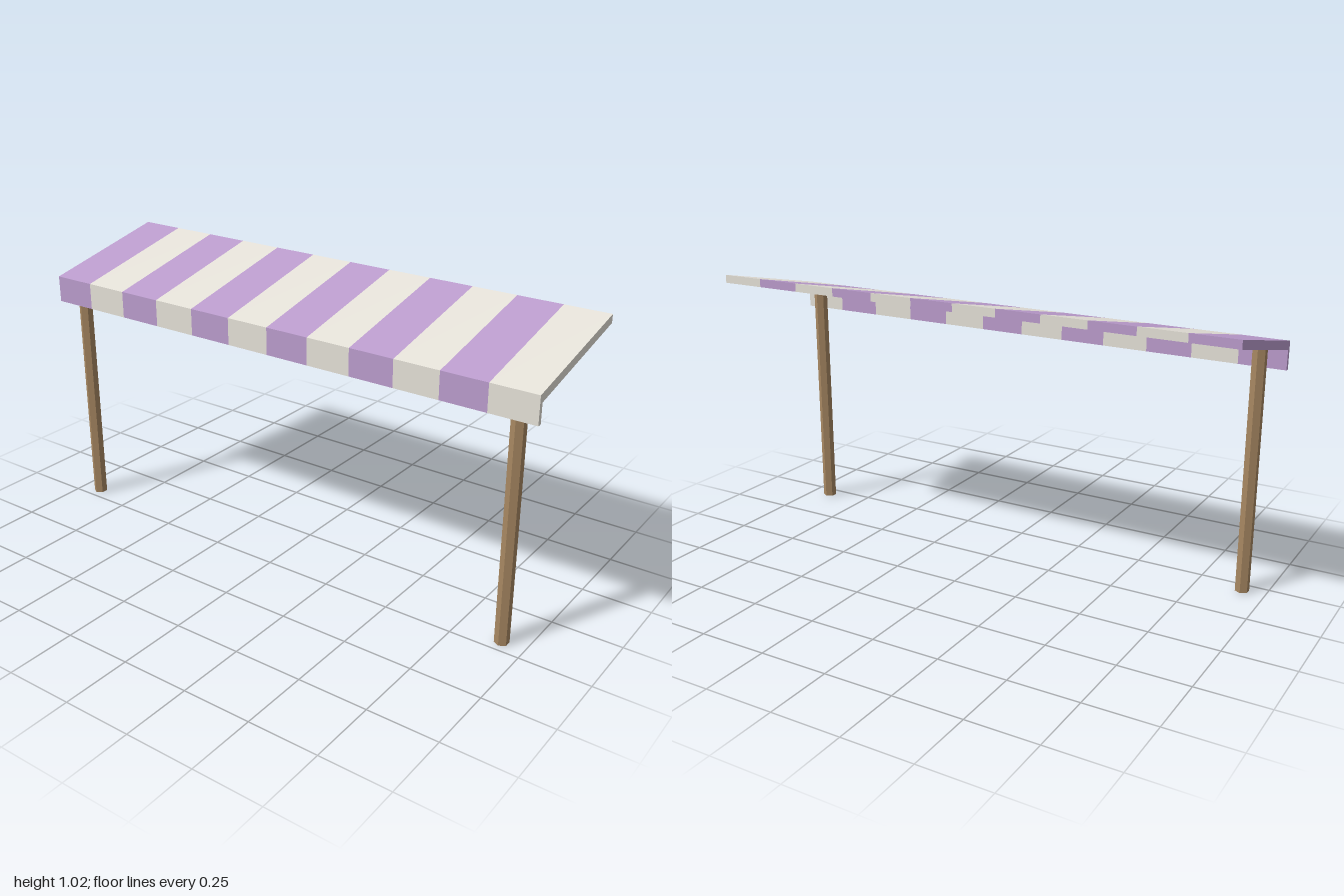
import * as THREE from 'three';

const STRIPES = 12;
const WIDTH = 2 / STRIPES;

export function createModel() {
  const model = new THREE.Group();
  model.name = 'stripedAwning';

  const material = (color) => new THREE.MeshStandardMaterial({ color, flatShading: true });
  const purple = material(0xbc9dce);
  const cream = material(0xe6e2d9);
  const wood = material(0xa88862);

  // Side profile of sloping roof and hanging front flap, as [z, y]
  const profile = [
    [0.25, 0.81], [0.25, 0.908], [-0.25, 1.017],
    [-0.25, 0.987], [0.234, 0.88], [0.234, 0.81],
  ];
  const shape = new THREE.Shape(profile.map(([z, y]) => new THREE.Vector2(-z, y)));
  const stripeGeometry = new THREE.ExtrudeGeometry(shape, { depth: WIDTH, bevelEnabled: false });
  stripeGeometry.rotateY(Math.PI / 2);

  // Alternating cloth stripes side by side
  const canopy = new THREE.Group();
  canopy.name = 'canopy';
  for (let i = 0; i < STRIPES; i++) {
    const stripe = new THREE.Mesh(stripeGeometry, i % 2 ? cream : purple);
    stripe.name = i % 2 ? 'creamStripe' : 'purpleStripe';
    stripe.position.x = -1 + i * WIDTH;
    canopy.add(stripe);
  }
  model.add(canopy);

  // Hexagonal wooden posts under the outermost stripes
  const postHeight = 0.889;
  const postGeometry = new THREE.CylinderGeometry(0.0255, 0.0255, postHeight, 6);
  for (const side of [-1, 1]) {
    const post = new THREE.Mesh(postGeometry, wood);
    post.name = side > 0 ? 'leftPost' : 'rightPost';
    post.position.set(side * (1 - WIDTH / 2), postHeight / 2, 0.2015);
    model.add(post);
  }

  return model;
}
